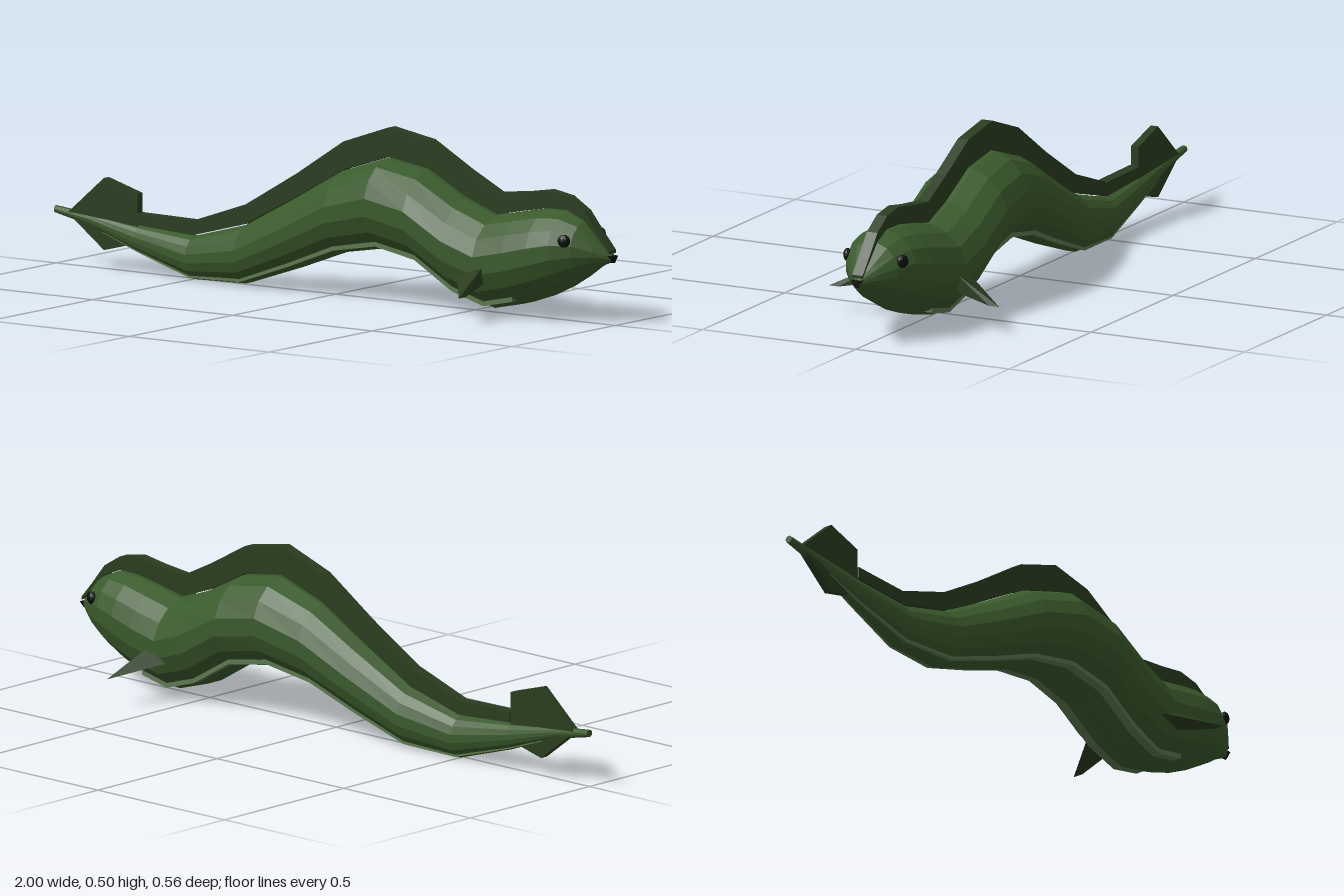
import * as THREE from 'three';
import { ConvexGeometry } from 'three/addons/geometries/ConvexGeometry.js';

const mat = (color) => new THREE.MeshStandardMaterial({ color, flatShading: true });
const bodyMat = mat(0x3a5a2c), finMat = mat(0x2a3d1f), bellyMat = mat(0x5c7850), darkMat = mat(0x0c0f0c);

// Body stations: x, top y, bottom y, half width
const STATIONS = [
  [-1, 0.173, 0.152, 0.011], [-0.87, 0.16, 0.125, 0.016], [-0.7, 0.142, 0.064, 0.03],
  [-0.5, 0.13, 0.005, 0.053], [-0.31, 0.18, 0.01, 0.076], [-0.13, 0.275, 0.07, 0.097],
  [0.04, 0.37, 0.133, 0.117], [0.2, 0.422, 0.16, 0.135], [0.345, 0.4, 0.135, 0.145],
  [0.48, 0.33, 0.055, 0.145], [0.59, 0.29, 0.022, 0.14], [0.69, 0.31, 0.043, 0.135],
  [0.77, 0.324, 0.07, 0.127], [0.84, 0.325, 0.103, 0.113], [0.9, 0.3, 0.138, 0.085],
  [0.95, 0.25, 0.172, 0.048], [0.99, 0.21, 0.19, 0.01],
].map(([x, top, bottom, rz]) => ({ x, top, y: (top + bottom) / 2, ry: (top - bottom) / 2, rz }));

// Skin closed cross-sections (lists of [x, y, z], clockwise seen from +x) and cap both ends
function loft(rings) {
  const n = rings[0].length, pos = rings.flat(2), index = [];
  for (let i = 0; i < rings.length - 1; i++) {
    for (let j = 0; j < n; j++) {
      const a = i * n + j, b = i * n + (j + 1) % n;
      index.push(a, a + n, b, b, a + n, b + n);
    }
  }
  const last = (rings.length - 1) * n;
  for (let j = 1; j < n - 1; j++) {
    index.push(0, j, j + 1, last, last + j + 1, last + j);
  }
  const g = new THREE.BufferGeometry();
  g.setAttribute('position', new THREE.Float32BufferAttribute(pos, 3));
  g.setIndex(index);
  const flat = g.toNonIndexed();
  flat.computeVertexNormals();
  return flat;
}

// Rectangular section; order matches the body rings
const slab = (x, low, high, w) => [[x, high, -w], [x, low, -w], [x, low, w], [x, high, w]];

export function createModel() {
  const group = new THREE.Group();
  const add = (name, geometry, material) => {
    const mesh = new THREE.Mesh(geometry, material);
    mesh.name = name;
    group.add(mesh);
    return mesh;
  };

  // Sixteen-sided undulating body with flat top, belly and flanks
  const sides = 16, fit = 1 / Math.cos(Math.PI / sides);
  add('body', loft(STATIONS.map(({ x, y, ry, rz }) =>
    Array.from({ length: sides }, (_, j) => {
      const a = (j + 0.5) / sides * Math.PI * 2;
      return [x, y + Math.cos(a) * ry * fit, -Math.sin(a) * rz * fit];
    }))), bodyMat);

  // Long dorsal fin following the back
  const heights = [0.036, 0.045, 0.06, 0.07, 0.085, 0.088, 0.085, 0.08, 0.065, 0.056, 0.055, 0.042, 0.03, 0.018, 0.012];
  add('dorsalFin', loft(STATIONS.slice(2).map(({ x, top }, i) =>
    slab(x, top + 0.003, top + heights[i], 0.017))), finMat);

  // Pale belly strip whose edges show along the underside
  add('bellyStrip', loft(STATIONS.slice(1, 12).map(({ x, y, ry, rz }) =>
    slab(x, y - 0.91 * ry, y - 0.73 * ry, 0.61 * rz))), bellyMat);

  // Tail fin plate
  const tail = new THREE.Shape([
    [-0.95, 0.158], [-0.82, 0.06], [-0.7, 0.09], [-0.7, 0.235], [-0.82, 0.27],
  ].map(([x, y]) => new THREE.Vector2(x, y)));
  const tailGeo = new THREE.ExtrudeGeometry(tail, { depth: 0.024, bevelEnabled: false });
  tailGeo.translate(0, 0, -0.012);
  add('tailFin', tailGeo, finMat);

  // Mirrored pectoral fins and eyes
  for (const [side, s] of [['right', 1], ['left', -1]]) {
    const points = [
      [0.54, 0.125, 0.12], [0.54, 0.125, 0.145], [0.62, 0.16, 0.125],
      [0.62, 0.108, 0.12], [0.645, 0.085, 0.245], [0.645, 0.085, 0.278],
    ].map(([x, y, z]) => new THREE.Vector3(x, y, z * s));
    add(side + 'PectoralFin', new ConvexGeometry(points), finMat);

    const eye = add(side + 'Eye', new THREE.SphereGeometry(0.019, 12, 8), darkMat);
    eye.position.set(0.882, 0.25, 0.09 * s);
    eye.scale.set(1, 1, 0.65);
    eye.rotation.y = 0.4 * s;
  }

  // Small dark wedge at the tip of the snout
  add('snoutTip', new ConvexGeometry([
    [0.965, 0.208, 0.018], [0.965, 0.208, -0.018], [0.965, 0.183, 0],
    [0.998, 0.206, 0.016], [0.998, 0.206, -0.016], [0.998, 0.186, 0],
  ].map((p) => new THREE.Vector3(...p))), darkMat);

  return group;
}
